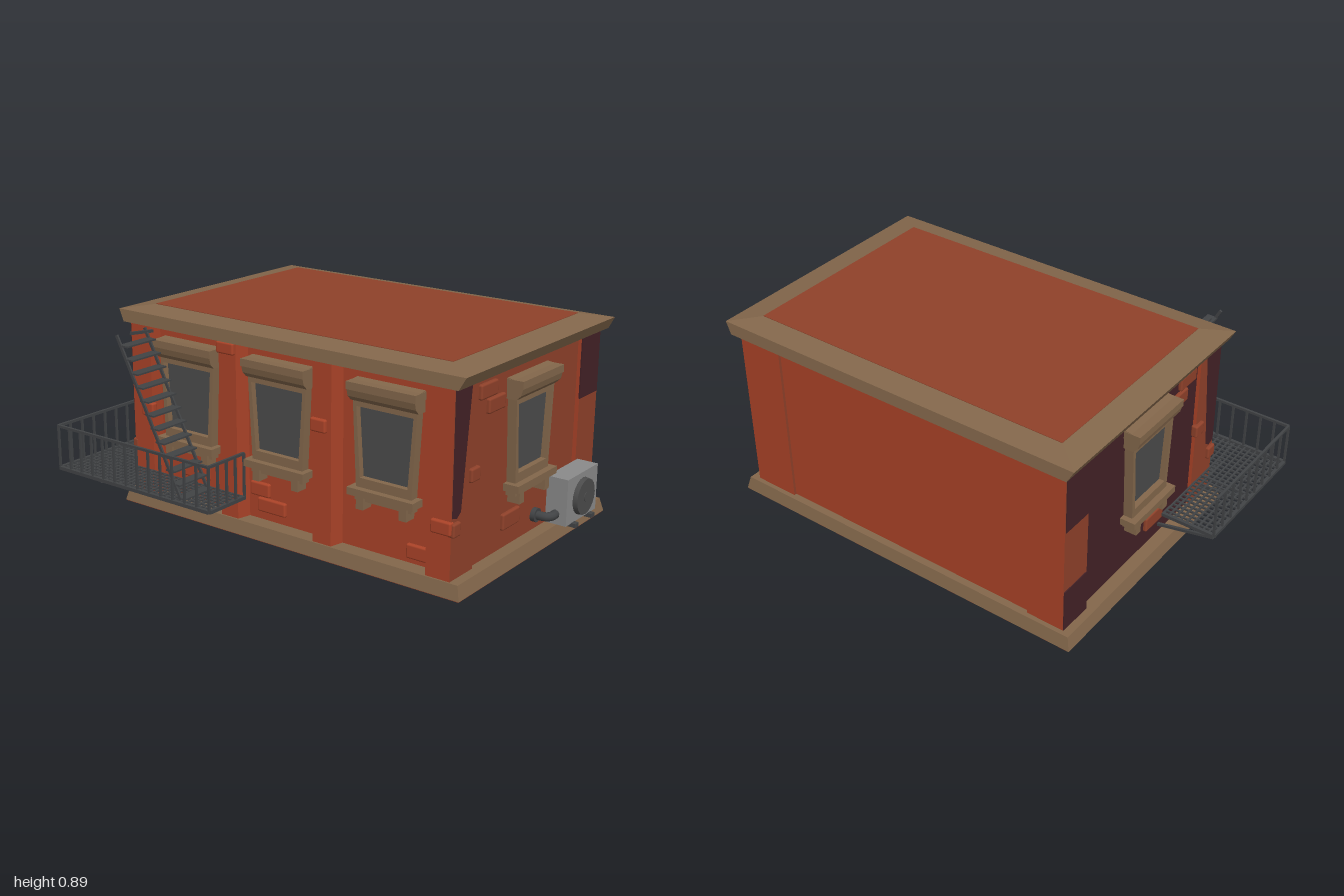
import * as THREE from 'three';
import { mergeGeometries } from 'three/addons/utils/BufferGeometryUtils.js';
import { RoundedBoxGeometry } from 'three/addons/geometries/RoundedBoxGeometry.js';

const mat = (name, color, side = THREE.FrontSide) => {
  const m = new THREE.MeshStandardMaterial({ color, side });
  m.name = name;
  return m;
};

export function createModel() {
  const brick = mat('brick red', 0xab4328);
  const plaster = mat('faded red', 0x8f412a);
  const dark = mat('dark plum', 0x432126, THREE.DoubleSide);
  const trim = mat('trim brown', 0x83674b);
  const glass = mat('window grey', 0x4b4b4b);
  const metal = mat('iron grey', 0x414345);
  const unit = mat('unit grey', 0x8a8a8a);

  const root = new THREE.Group();
  const house = new THREE.Group();
  house.name = 'house';
  house.position.set(0.067, 0, -0.089);
  house.rotation.set(-0.009, -0.021, 0);
  root.add(house);

  const add = (name, geo, material, parent = house) => {
    const m = new THREE.Mesh(geo, material);
    m.name = name;
    parent.add(m);
    return m;
  };
  // box from its minimum and maximum corners
  const boxGeo = (x0, x1, y0, y1, z0, z1) =>
    new THREE.BoxGeometry(x1 - x0, y1 - y0, z1 - z0)
      .translate((x0 + x1) / 2, (y0 + y1) / 2, (z0 + z1) / 2);
  const box = (name, material, b, parent) => add(name, boxGeo(...b), material, parent);
  // square bar between two points
  const barGeo = (a, b, t, depth = t) => {
    const p = new THREE.Vector3(...a), q = new THREE.Vector3(...b);
    const d = q.clone().sub(p);
    const turn = new THREE.Quaternion().setFromUnitVectors(new THREE.Vector3(0, 1, 0), d.clone().normalize());
    const mid = p.add(q).multiplyScalar(0.5);
    return new THREE.BoxGeometry(t, d.length(), depth).applyQuaternion(turn).translate(mid.x, mid.y, mid.z);
  };
  // capped stack of rectangles, each [halfWidth, halfDepth, y]
  const loft = (rings) => {
    const c = rings.map(([w, d, y]) => [[-w, y, d], [w, y, d], [w, y, -d], [-w, y, -d]]);
    const pos = [];
    const quad = (a, b, e, f) => pos.push(...a, ...b, ...e, ...a, ...e, ...f);
    for (let i = 0; i < c.length - 1; i++)
      for (let k = 0; k < 4; k++) {
        const n = (k + 1) % 4;
        quad(c[i][k], c[i][n], c[i + 1][n], c[i + 1][k]);
      }
    quad(...c[c.length - 1]);
    quad(...[...c[0]].reverse());
    const g = new THREE.BufferGeometry();
    g.setAttribute('position', new THREE.Float32BufferAttribute(pos, 3));
    g.computeVertexNormals();
    return g;
  };

  // base, walls and roof
  add('base', loft([[0.86, 0.583, 0.01], [0.845, 0.57, 0.068]]), trim);
  box('baseUnderside', plaster, [-0.858, 0.858, 0.007, 0.011, -0.581, 0.581]);
  add('walls', boxGeo(-0.79, 0.79, 0.06, 0.83, -0.538, 0.502),
    [plaster, dark, plaster, plaster, brick, brick]);
  add('roofRim', loft([[0.83, 0.582, 0.817], [0.858, 0.577, 0.868], [0.741, 0.48, 0.886]]), trim);
  box('roofPanel', plaster, [-0.739, 0.739, 0.88, 0.888, -0.478, 0.478]);

  // pilasters, the middle ones with slanted sides
  for (const x of [-0.2715, 0.2075]) {
    const outline = new THREE.Shape([[-0.058, 0.49], [-0.058, 0.5], [-0.045, 0.563], [0.045, 0.563], [0.058, 0.5], [0.058, 0.49]]
      .map(([px, z]) => new THREE.Vector2(x + px, -z)));
    add('frontPilaster', new THREE.ExtrudeGeometry(outline, { depth: 0.77, bevelEnabled: false })
      .rotateX(-Math.PI / 2).translate(0, 0.06, 0), brick);
  }
  for (const s of [-1, 1]) {
    const span = (a, b) => [Math.min(s * a, s * b), Math.max(s * a, s * b)];
    add('frontCornerPilaster', boxGeo(...span(0.697, 0.805), 0.06, 0.83, 0.405, 0.563),
      [s > 0 ? plaster : brick, plaster, plaster, plaster, brick, brick]);
    add('backCornerPilaster', boxGeo(...span(s > 0 ? 0.6 : 0.64, 0.808), 0.06, 0.83, -0.55, -0.395),
      [s > 0 ? plaster : brick, plaster, plaster, plaster, brick, brick]);
    // dark worn areas on the corner sides
    box('wornBackPatch', dark, [s * 0.809 - 0.003, s * 0.809 + 0.003, 0.55, 0.83, -0.545, -0.393]);
    const patch = new THREE.Shape([[0.562, 0.83], [0.445, 0.83], [0.501, 0.33], [0.528, 0.31], [0.562, 0.32]]
      .map(([z, y]) => new THREE.Vector2(-z, y)));
    const p = add('wornFrontPatch', new THREE.ShapeGeometry(patch), dark);
    p.rotation.y = Math.PI / 2;
    p.position.x = s * 0.807;
  }
  box('wornLowerPatch', dark, [-0.812, -0.806, 0.06, 0.26, -0.548, -0.393]);

  // window, built facing +z with the wall at z = 0
  const trapezoid = (T, top, bottom, y0, y1) => {
    const s = new T();
    s.moveTo(-bottom, y0);
    s.lineTo(bottom, y0);
    s.lineTo(top, y1);
    s.lineTo(-top, y1);
    s.closePath();
    return s;
  };
  const addWindow = (x, z, turn) => {
    const g = new THREE.Group();
    g.name = 'window';
    g.position.set(x, 0, z);
    g.rotation.y = turn;
    house.add(g);
    const frame = trapezoid(THREE.Shape, 0.147, 0.128, 0.335, 0.7);
    frame.holes.push(trapezoid(THREE.Path, 0.13, 0.11, 0.378, 0.662));
    add('windowFrame', new THREE.ExtrudeGeometry(frame, { depth: 0.04, bevelEnabled: false }), trim, g);
    add('windowPane', new THREE.ExtrudeGeometry(trapezoid(THREE.Shape, 0.134, 0.115, 0.37, 0.67),
      { depth: 0.015, bevelEnabled: false }), glass, g);
    // hood profile in depth and height, swept across the width
    const hood = new THREE.Shape([[0, 0.683], [0.042, 0.683], [0.062, 0.703], [0.07, 0.733], [0.066, 0.758], [0, 0.766]]
      .map(([d, y]) => new THREE.Vector2(-d, y)));
    const hoodGeo = new THREE.ExtrudeGeometry(hood, { depth: 0.31, bevelEnabled: false })
      .translate(0, 0, -0.155).rotateY(Math.PI / 2);
    add('windowHood', hoodGeo, trim, g);
    box('hoodCap', trim, [-0.158, 0.158, 0.731, 0.762, 0, 0.072], g);
    box('windowSill', trim, [-0.153, 0.153, 0.31, 0.34, 0, 0.068], g);
    box('lowerSill', trim, [-0.132, 0.132, 0.286, 0.312, 0, 0.042], g);
    for (const s of [-1, 1])
      box('sillBracket', trim, [s * 0.1 - 0.017, s * 0.1 + 0.017, 0.254, 0.312, 0, 0.055], g);
  };
  for (const x of [-0.515, -0.035, 0.485]) addWindow(x, 0.502, 0);
  addWindow(0.79, 0.016, Math.PI / 2);
  addWindow(-0.79, 0.016, -Math.PI / 2);

  // loose raised bricks with rounded edges, centred on the wall surface
  const raisedBrick = (material, x, y, z, w, h, d) =>
    add('raisedBrick', new RoundedBoxGeometry(w, h, d, 2, 0.008).translate(x, y, z), material);
  for (const [x, y, w, h, z] of [[-0.715, 0.45, 0.065, 0.06, 0.563], [0.195, 0.56, 0.075, 0.055, 0.563],
    [-0.15, 0.2, 0.1, 0.06, 0.502], [-0.09, 0.135, 0.145, 0.06, 0.502], [0.64, 0.12, 0.13, 0.06, 0.502],
    [0.765, 0.28, 0.09, 0.055, 0.563], [-0.275, 0.79, 0.09, 0.05, 0.563], [-0.505, 0.2, 0.15, 0.06, 0.502]])
    raisedBrick(brick, x, y, z, w, h, 0.03);
  for (const s of [-1, 1])
    for (const [z, y, w, h, d] of [[0.317, 0.755, 0.12, 0.06, 0.79], [0.257, 0.688, 0.12, 0.06, 0.79],
      [0.42, 0.455, 0.062, 0.056, 0.805], [0.115, 0.18, 0.13, 0.068, 0.79], [0.54, 0.272, 0.052, 0.056, 0.805]])
      raisedBrick(plaster, s * d, y, z, 0.03, h, w);

  // cooling unit on the right wall
  const ac = new THREE.Group();
  ac.name = 'coolingUnit';
  house.add(ac);
  box('unitBody', unit, [0.815, 0.91, 0.088, 0.288, -0.398, -0.141], ac);
  for (const z of [-0.34, -0.2]) box('unitFoot', metal, [0.79, 0.93, 0.073, 0.09, z - 0.015, z + 0.015], ac);
  add('fanGrille', new THREE.CylinderGeometry(0.076, 0.08, 0.024, 20).rotateZ(-Math.PI / 2).translate(0.918, 0.185, -0.268), glass, ac);
  add('fanHub', new THREE.CylinderGeometry(0.02, 0.02, 0.01, 12).rotateZ(-Math.PI / 2).translate(0.928, 0.185, -0.268), glass, ac);
  const pipe = new THREE.CatmullRomCurve3([[0.86, 0.132, -0.141], [0.86, 0.132, -0.11], [0.845, 0.132, -0.09], [0.79, 0.132, -0.085]]
    .map((p) => new THREE.Vector3(...p)));
  add('unitPipe', new THREE.TubeGeometry(pipe, 12, 0.019, 10), metal, ac);
  add('pipeCollar', new THREE.CylinderGeometry(0.03, 0.03, 0.02, 14).rotateZ(Math.PI / 2).translate(0.8, 0.132, -0.085), metal, ac);

  // fire escape: L-shaped grating around the front left corner
  const escape = new THREE.Group();
  escape.name = 'fireEscape';
  house.add(escape);
  const X0 = -1.05, XI = -0.81, X1 = -0.19, Z0 = 0.168, ZI = 0.565, Z1 = 0.779, FY = 0.172, RY = 0.362;
  const grid = [];
  for (let x = X0; x < X1; x += 0.0265)
    grid.push(barGeo([x, FY, x < XI ? Z0 : ZI], [x, FY, Z1], 0.0075));
  for (let z = Z0; z < Z1; z += 0.0265)
    grid.push(barGeo([X0, FY, z], [z < ZI ? XI : X1, FY, z], 0.0075));
  add('grating', mergeGeometries(grid), metal, escape);

  const frameBars = [
    barGeo([X0, FY, Z0], [X0, FY, Z1], 0.015), barGeo([X0, FY, Z1], [X1, FY, Z1], 0.015),
    barGeo([X1, FY, ZI], [X1, FY, Z1], 0.015), barGeo([X0, FY, Z0], [XI, FY, Z0], 0.015),
    barGeo([X0, FY, 0.485], [XI, FY, 0.485], 0.012), barGeo([-0.7, FY, ZI], [-0.7, FY, Z1], 0.012),
    barGeo([X0, FY - 0.008, Z0], [-0.79, 0.108, Z0], 0.012),
    barGeo([X0, FY - 0.008, 0.485], [-0.79, 0.108, 0.485], 0.012),
    barGeo([-0.8, FY - 0.008, Z1], [-0.8, 0.115, 0.55], 0.012)];
  add('platformFrame', mergeGeometries(frameBars), metal, escape);

  const rails = [];
  const rail = (a, b, n) => {
    rails.push(barGeo([a[0], RY, a[1]], [b[0], RY, b[1]], 0.011));
    for (let i = 0; i <= n; i++) {
      const x = a[0] + (b[0] - a[0]) * i / n, z = a[1] + (b[1] - a[1]) * i / n;
      rails.push(barGeo([x, FY, z], [x, RY, z], 0.009));
    }
  };
  rail([X0, Z1], [X1, Z1], 13);
  rail([X0, Z0], [X0, Z1], 9);
  rail([X1, ZI], [X1, Z1], 4);
  add('railing', mergeGeometries(rails), metal, escape);

  // steep stair rising to the left along the front
  const stair = [0.6, 0.76].map((z) => barGeo([-0.36, 0.18, z], [-0.69, 0.815, z], 0.013, 0.008));
  for (let i = 0; i < 12; i++) {
    const y = 0.185 + i * 0.0535, x = -0.37 - i * 0.0268;
    stair.push(boxGeo(x - 0.012, x + 0.035, y - 0.0035, y + 0.0035, 0.597, 0.762));
  }
  stair.push(barGeo([-0.68, 0.81, 0.69], [-0.68, 0.796, 0.565], 0.012));
  add('stair', mergeGeometries(stair), metal, escape);

  return root;
}
